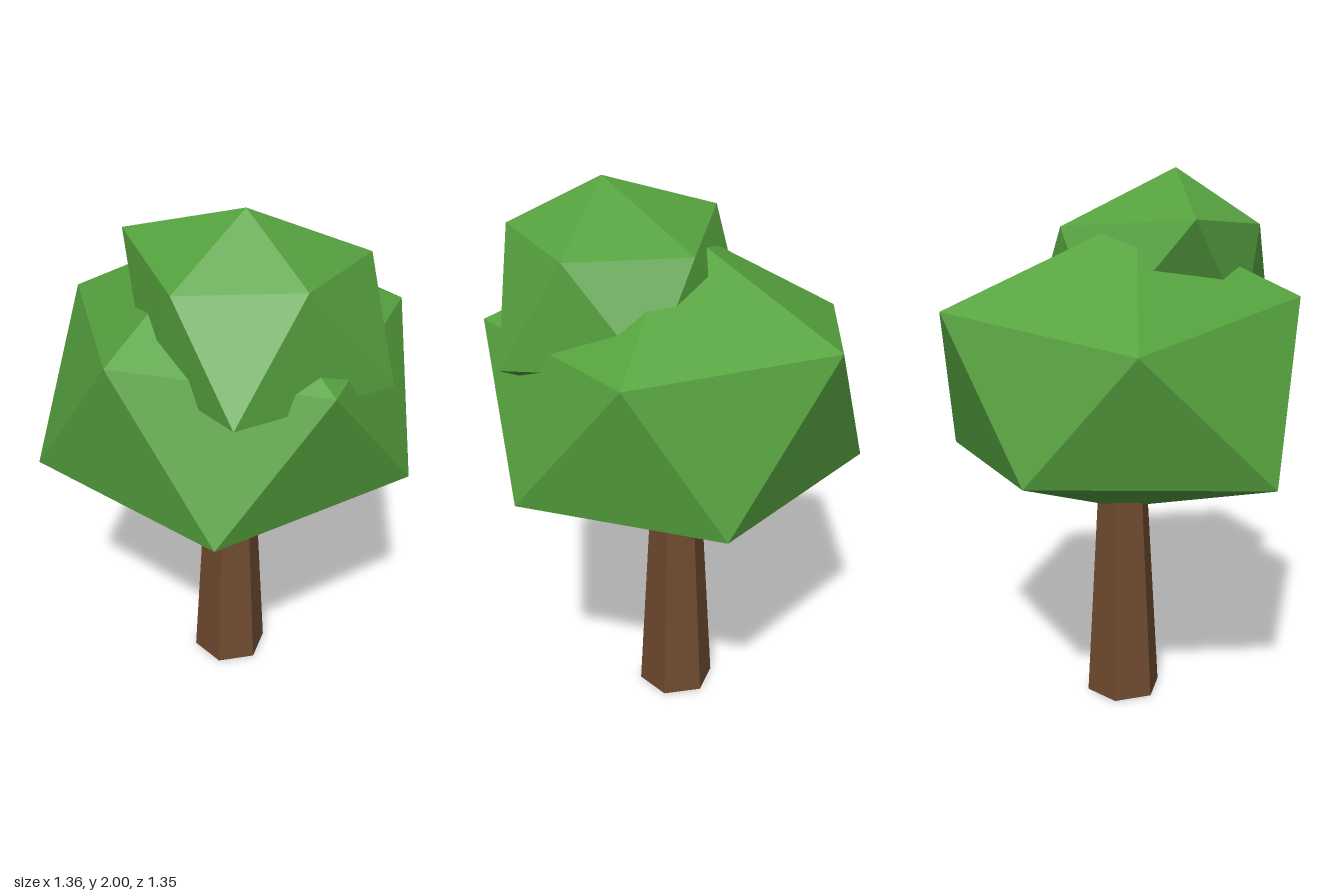
import * as THREE from 'three';

const leafGreen = new THREE.MeshStandardMaterial({ color: 0x56a23f });
const barkBrown = new THREE.MeshStandardMaterial({ color: 0x6f4a2f });
leafGreen.flatShading = true;
barkBrown.flatShading = true;

// Uneven twenty-sided clump: a tip, two staggered rings of five and a base point
function foliage(name, tip, upper, lower, base) {
  const corners = [];
  for (let i = 0; i < 5; i++) {
    const j = (i + 1) % 5;
    corners.push(
      tip, upper[i], upper[j],
      upper[i], lower[i], upper[j],
      lower[i], lower[j], upper[j],
      base, lower[j], lower[i]
    );
  }
  const geometry = new THREE.BufferGeometry();
  geometry.setAttribute('position', new THREE.Float32BufferAttribute(corners.flat(), 3));
  geometry.computeVertexNormals();
  const mesh = new THREE.Mesh(geometry, leafGreen);
  mesh.name = name;
  return mesh;
}

export function createModel() {
  const tree = new THREE.Group();
  tree.name = 'tree';

  // Tapered six-sided trunk, ending inside the crown
  const trunk = new THREE.Mesh(
    new THREE.CylinderGeometry(0.087, 0.145, 1, 6, 1, false, Math.PI / 2), barkBrown);
  trunk.name = 'trunk';
  trunk.position.set(0.035, 0.5, -0.025);
  tree.add(trunk);

  // Main crown
  tree.add(foliage('mainCrown',
    [-0.02, 1.84, -0.01],
    [[-0.46, 1.56, 0.38], [0.22, 1.51, 0.63], [0.68, 1.5, -0.06], [0.28, 1.55, -0.66], [-0.46, 1.47, -0.49]],
    [[-0.17, 1.02, 0.67], [0.6, 1.0, 0.36], [0.58, 0.98, -0.38], [-0.13, 1.02, -0.68], [-0.68, 0.98, -0.04]],
    [0.1, 0.72, 0.03]));

  // Smaller clump on the upper front
  tree.add(foliage('upperCrown',
    [0.02, 2.0, 0.25],
    [[-0.33, 1.85, -0.06], [-0.25, 1.8, 0.41], [0.14, 1.84, 0.56], [0.45, 1.81, 0.22], [0.22, 1.8, -0.15]],
    [[-0.31, 1.45, 0.25], [-0.11, 1.46, 0.67], [0.475, 1.43, 0.45], [0.44, 1.46, -0.07], [-0.07, 1.45, -0.26]],
    [0.1, 1.22, 0.2]));

  return tree;
}
